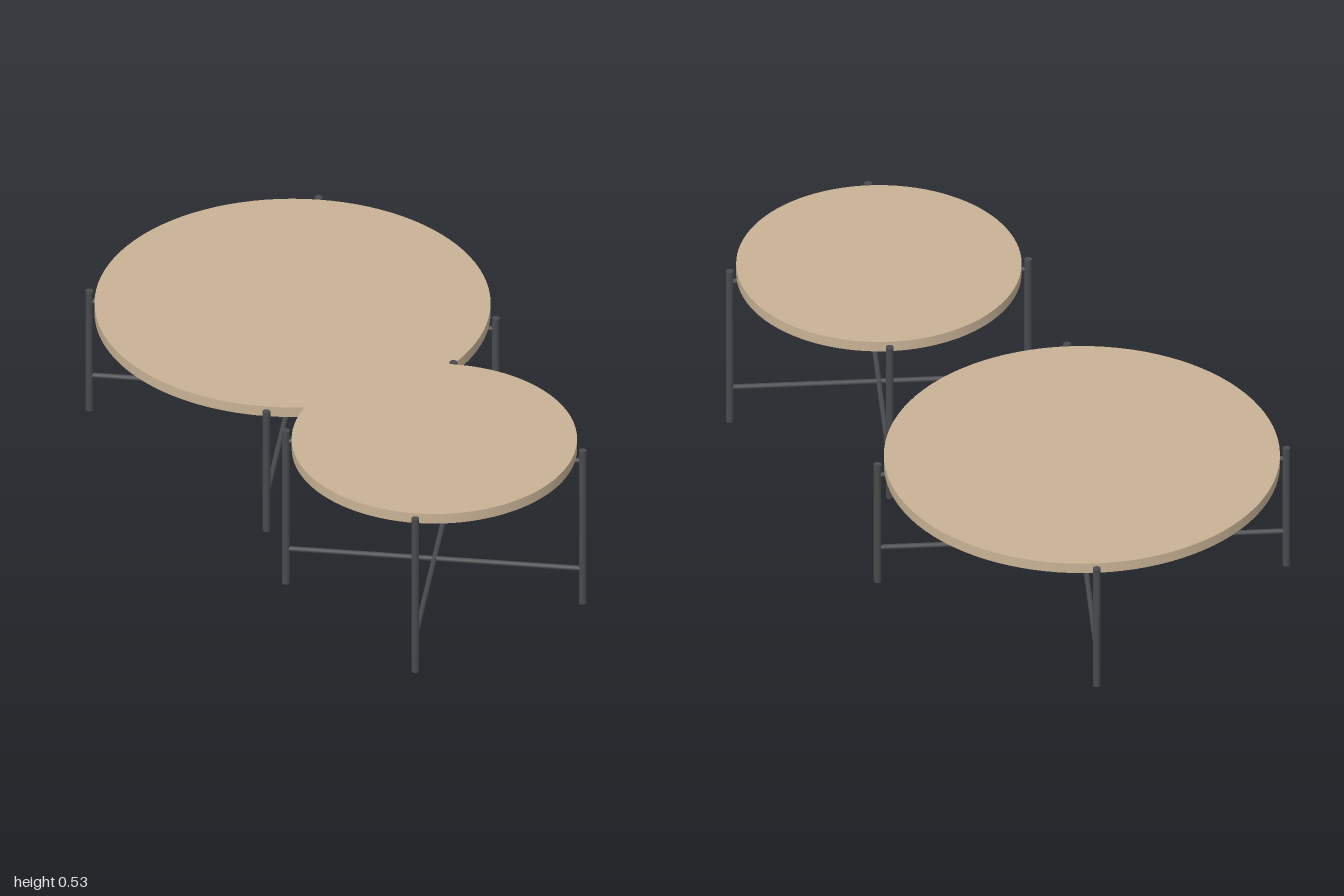
import * as THREE from 'three';

const wood = new THREE.MeshStandardMaterial({ color: 0xc8b295 });
wood.name = 'light wood';
const metal = new THREE.MeshStandardMaterial({ color: 0x484a4d });
metal.name = 'dark metal';

function cylinder(name, radius, length, sides, material) {
  const mesh = new THREE.Mesh(new THREE.CylinderGeometry(radius, radius, length, sides), material);
  mesh.name = name;
  return mesh;
}

// Round table: disc top, four legs outside the rim, crossed bars under the top and near the floor
function createTable({ name, x, z, radius, top, legHeight }) {
  const table = new THREE.Group();
  table.name = name;
  table.position.set(x, 0, z);

  const thickness = 0.033;
  const disc = cylinder('tableTop', radius, thickness, 96, wood);
  disc.position.y = top - thickness / 2;
  table.add(disc);

  const reach = radius + 0.02;
  for (let i = 0; i < 4; i++) {
    const angle = Math.PI / 4 + i * Math.PI / 2;
    const leg = cylinder('leg', 0.0115, legHeight, 16, metal);
    leg.position.set(Math.cos(angle) * reach, legHeight / 2, Math.sin(angle) * reach);
    table.add(leg);
  }

  const levels = { lowerCrossbar: 0.118, upperCrossbar: top - thickness - 0.008 };
  for (const [barName, y] of Object.entries(levels)) {
    for (const side of [-1, 1]) {
      const bar = cylinder(barName, 0.008, reach * 2, 12, metal);
      bar.rotation.set(0, side * Math.PI / 4, Math.PI / 2);
      bar.position.y = y;
      table.add(bar);
    }
  }
  return table;
}

export function createModel() {
  const model = new THREE.Group();
  model.name = 'nestingCoffeeTables';
  model.add(
    createTable({ name: 'largeLowTable', x: -0.42, z: -0.043, radius: 0.58, top: 0.413, legHeight: 0.409 }),
    createTable({ name: 'smallTallTable', x: 0.58, z: 0.205, radius: 0.418, top: 0.53, legHeight: 0.525 }),
  );
  return model;
}
